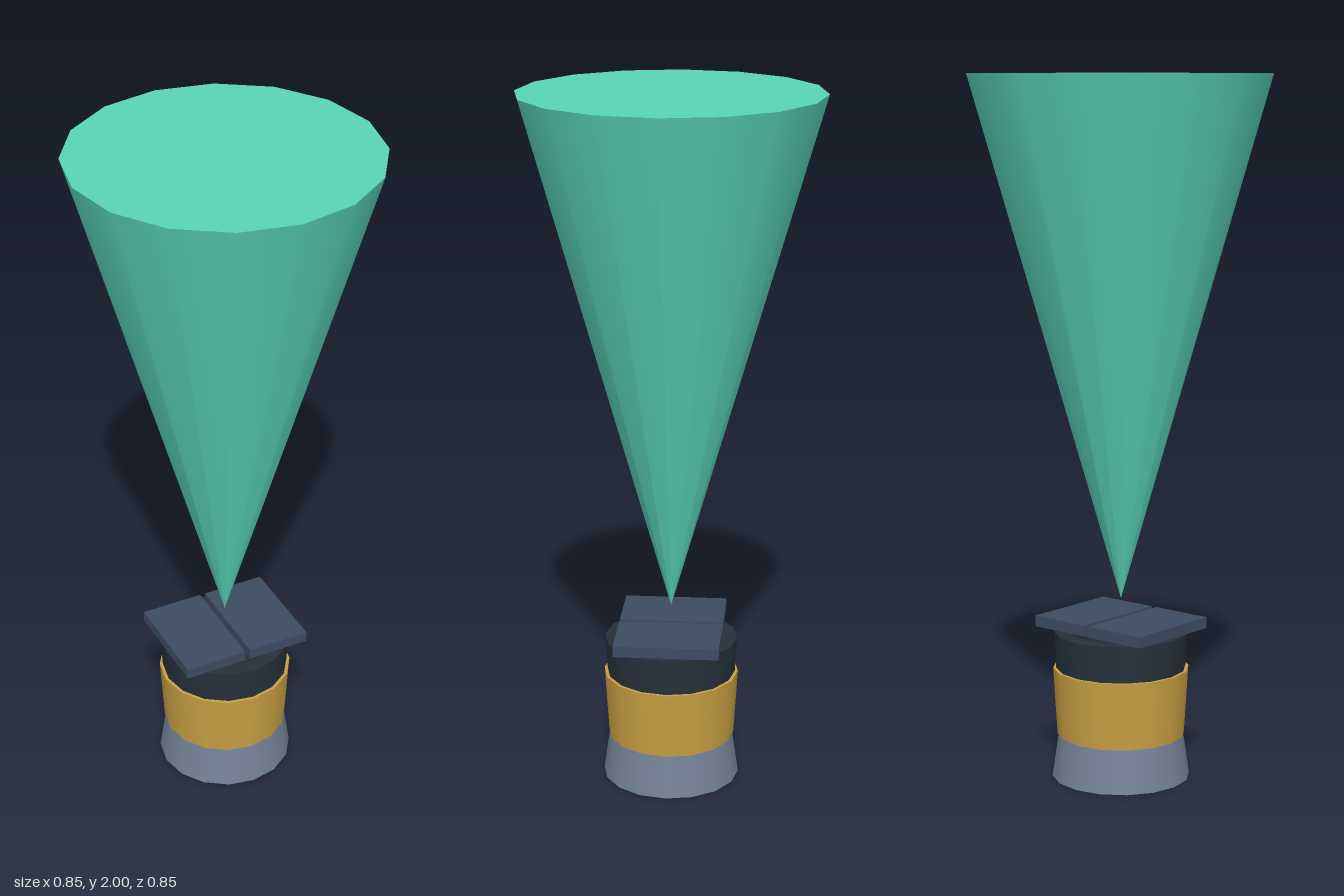
import * as THREE from 'three';

const paint = (name, color) => {
  const m = new THREE.MeshStandardMaterial({ color });
  m.name = name;
  return m;
};

export function createModel() {
  const group = new THREE.Group();
  const steel = paint('steel grey', 0x748198);
  const brass = paint('brass', 0xc9a043);
  const charcoal = paint('charcoal', 0x25313a);
  const slate = paint('slate blue', 0x3d4b63);
  const mint = paint('mint', 0x58d3b8);

  const add = (name, geometry, material, x, y) => {
    const mesh = new THREE.Mesh(geometry, material);
    mesh.name = name;
    mesh.position.set(x, y, 0);
    group.add(mesh);
  };

  // Round section standing between two heights
  const section = (name, material, y0, y1, r0, r1) =>
    add(name, new THREE.CylinderGeometry(r1, r0, y1 - y0, 16), material, 0, (y0 + y1) / 2);

  // Stacked body
  section('base', steel, 0, 0.125, 0.198, 0.18);
  section('band', brass, 0.125, 0.32, 0.183, 0.195);
  section('collar', charcoal, 0.32, 0.425, 0.186, 0.191);
  section('neck', charcoal, 0.425, 0.435, 0.15, 0.15);

  // Pair of lid plates with a narrow slot between them
  for (const side of [-1, 1]) {
    add(side > 0 ? 'leftLid' : 'rightLid', new THREE.BoxGeometry(0.186, 0.032, 0.3), slate, side * 0.101, 0.451);
  }

  // Inverted beam cone floating above the lid
  const beam = new THREE.ConeGeometry(0.425, 1.48, 16);
  beam.rotateX(Math.PI);
  add('beam', beam, mint, 0, 1.26);

  return group;
}
